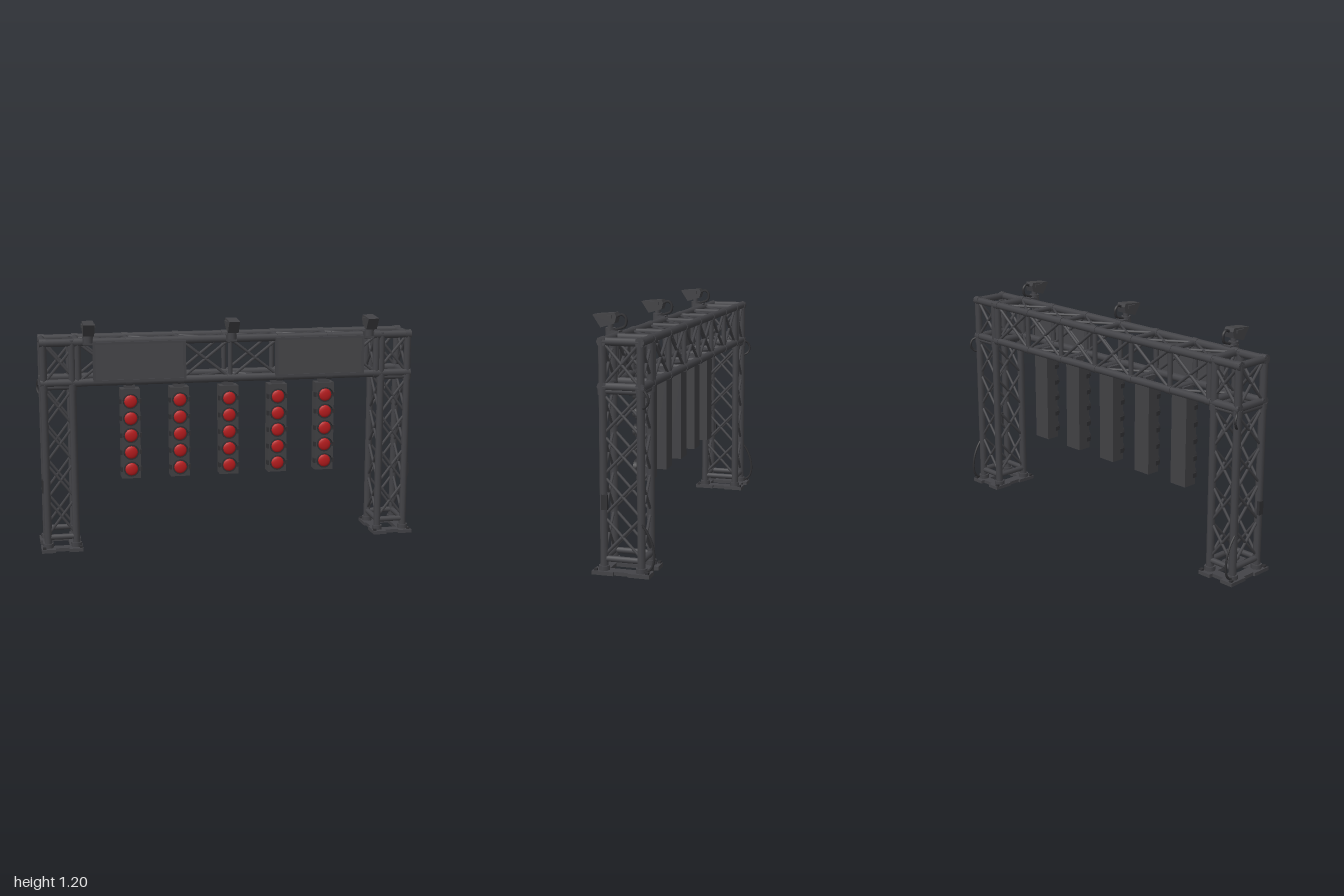
import * as THREE from 'three';

const mat = (name, color, side = THREE.FrontSide) => {
  const m = new THREE.MeshStandardMaterial({ color, side });
  m.name = name;
  return m;
};

export function createModel() {
  const steel = mat('darkSteel', 0x434347);
  const housing = mat('housingGrey', 0x414144);
  const panelGrey = mat('panelGrey', 0x464649);
  const trim = mat('blackTrim', 0x303033, THREE.DoubleSide);
  const red = mat('lampRed', 0xb81c1e);

  const model = new THREE.Group();
  model.name = 'lightGantry';
  const group = (name, parent = model) => {
    const g = new THREE.Group();
    g.name = name;
    parent.add(g);
    return g;
  };
  const add = (parent, name, geo, m, x = 0, y = 0, z = 0) => {
    const mesh = new THREE.Mesh(geo, m);
    mesh.name = name;
    mesh.position.set(x, y, z);
    parent.add(mesh);
    return mesh;
  };
  const box = (p, name, w, h, d, m, x, y, z) => add(p, name, new THREE.BoxGeometry(w, h, d), m, x, y, z);
  const up = new THREE.Vector3(0, 1, 0);
  // Round bar between two points
  const rod = (p, name, a, b, r, m = steel, sides = 8) => {
    const A = new THREE.Vector3(...a), d = new THREE.Vector3(...b).sub(A);
    const mesh = add(p, name, new THREE.CylinderGeometry(r, r, d.length(), sides), m);
    mesh.position.copy(A).addScaledVector(d, 0.5);
    mesh.quaternion.setFromUnitVectors(up, d.normalize());
    return mesh;
  };
  // Crossed braces over the quad a-b (bottom), c-d (top)
  const cross = (p, a, b, c, d, r) => {
    rod(p, 'brace', a, d, r, steel, 6);
    rod(p, 'brace', b, c, r, steel, 6);
  };
  const tube = (p, name, pts, r, m) => add(p, name, new THREE.TubeGeometry(
    new THREE.CatmullRomCurve3(pts.map(v => new THREE.Vector3(...v))), 24, r, 6), m);

  const ZF = 0.064, ZB = -0.118, XO = 0.963, XI = 0.818, YB = 0.882, YT = 1.088;

  // Notched base plate with an open middle
  const w = 0.107, d = 0.14, n = 0.035, k = 0.022;
  const plate = new THREE.Shape([
    [-w, -d], [-n, -d], [-n, -d + k], [n, -d + k], [n, -d], [w, -d], [w, -n], [w - 0.012, -n], [w - 0.012, n], [w, n],
    [w, d], [n, d], [n, d - k], [-n, d - k], [-n, d], [-w, d], [-w, n], [-w + 0.012, n], [-w + 0.012, -n], [-w, -n],
  ].map(v => new THREE.Vector2(...v)));
  plate.holes.push(new THREE.Path([[-0.042, -0.07], [-0.042, 0.07], [0.042, 0.07], [0.042, -0.07]]
    .map(v => new THREE.Vector2(...v))));
  const plateGeo = new THREE.ExtrudeGeometry(plate, { depth: 0.018, bevelEnabled: false }).rotateX(-Math.PI / 2);

  // Lattice towers
  for (const s of [-1, 1]) {
    const t = group(s > 0 ? 'leftTower' : 'rightTower');
    const xo = s * XO, xi = s * XI;
    add(t, 'basePlate', plateGeo, steel, s * 0.893, 0, -0.026);
    const corners = [[xo, ZF], [xi, ZF], [xi, ZB], [xo, ZB]];
    corners.forEach(([x, z], i) => {
      const [x2, z2] = corners[(i + 1) % 4];
      rod(t, 'leg', [x, 0.01, z], [x, 1.1, z], 0.0195);
      rod(t, 'footCollar', [x, 0.015, z], [x, 0.04, z], 0.028);
      rod(t, 'topCollar', [x, 0.845, z], [x, 0.875, z], 0.024);
      for (const y of [0.072, 0.862]) rod(t, 'ring', [x, y, z], [x2, y, z2], 0.015);
      const bays = 4, y0 = 0.085, h = (0.85 - y0) / bays;
      for (let b = 0; b < bays; b++) {
        const lo = y0 + b * h, hi = lo + h;
        cross(t, [x, lo, z], [x2, lo, z2], [x, hi, z], [x2, hi, z2], 0.0075);
      }
      box(t, 'anchorBolt', 0.016, 0.012, 0.016, trim, x + Math.sign(x - s * 0.89) * 0.022, 0.022, z + Math.sign(z + 0.027) * 0.034);
    });
    // Cables looping out of the rear outer leg
    const cx = s * 0.975;
    tube(t, 'lowerCable', [[cx, 0.25, -0.125], [cx, 0.21, -0.153], [cx, 0.15, -0.177], [cx, 0.08, -0.182],
      [cx, 0.04, -0.165], [cx, 0.022, -0.13]], 0.006, trim);
    tube(t, 'upperCable', [[s * 0.965, 0.875, -0.125], [s * 0.984, 0.862, -0.15], [s * 0.988, 0.83, -0.163],
      [s * 0.984, 0.802, -0.15], [s * 0.965, 0.785, -0.12]], 0.006, trim);
    box(t, 'cableClamp', 0.016, 0.07, 0.03, trim, s * 0.98, 0.345, ZF - 0.01);
  }

  // Overhead box truss
  const truss = group('topTruss');
  for (const y of [YB, YT]) for (const z of [ZF, ZB]) rod(truss, 'chord', [-0.98, y, z], [0.98, y, z], 0.0205);
  const nodes = [-XO, -0.79, -0.53, -0.262, 0, 0.262, 0.53, 0.79, XO];
  nodes.forEach((x, i) => {
    const end = Math.abs(x) > 0.7, r = end ? 0.019 : 0.013;
    for (const z of [ZF, ZB]) {
      rod(truss, 'post', [x, YB, z], [x, YT, z], r);
      for (const y of [YB, YT]) rod(truss, 'jointCollar', [x - 0.016, y, z], [x + 0.016, y, z], 0.0235);
    }
    for (const y of [YB, YT]) rod(truss, 'crossTie', [x, y, ZF], [x, y, ZB], r);
    if (end) cross(truss, [x, YB, ZF], [x, YB, ZB], [x, YT, ZF], [x, YT, ZB], 0.0075);
    if (i === nodes.length - 1) return;
    const x2 = nodes[i + 1];
    for (const z of [ZF, ZB]) cross(truss, [x, YB, z], [x2, YB, z], [x, YT, z], [x2, YT, z], 0.008);
    if (i === 0 || i === nodes.length - 2) return;
    cross(truss, [x, YT, ZF], [x2, YT, ZF], [x, YT, ZB], [x2, YT, ZB], 0.0075);
    rod(truss, 'bottomBrace', [x, YB, i % 2 ? ZF : ZB], [x2, YB, i % 2 ? ZB : ZF], 0.0075, steel, 6);
  });

  // Blank display panels with raised rims
  for (const s of [-1, 1]) {
    const p = group('displayPanel');
    p.position.set(s * 0.475, 0.986, 0.084);
    box(p, 'panelBoard', 0.46, 0.19, 0.018, panelGrey, 0, 0, 0);
    for (const e of [-1, 1]) {
      box(p, 'panelRim', 0.475, 0.012, 0.03, steel, 0, e * 0.097, 0);
      box(p, 'panelRim', 0.012, 0.2, 0.03, steel, e * 0.232, 0, 0);
    }
  }

  // Hanging signal columns with five lamps each
  const hoodGeo = new THREE.CylinderGeometry(0.041, 0.038, 0.022, 14, 1, true, Math.PI * 0.42, Math.PI * 1.16)
    .rotateX(Math.PI / 2);
  const lampGeo = new THREE.SphereGeometry(0.034, 12, 4, 0, Math.PI * 2, 0, Math.PI / 2)
    .scale(1, 0.3, 1).rotateX(Math.PI / 2);
  const bezelGeo = new THREE.CylinderGeometry(0.041, 0.041, 0.008, 14).rotateX(Math.PI / 2);
  for (const x of [-0.52, -0.262, 0, 0.262, 0.52]) {
    const c = group('signalColumn');
    c.position.x = x;
    box(c, 'columnBody', 0.1, 0.475, 0.074, housing, 0, 0.597, -0.002);
    box(c, 'mountBlock', 0.055, 0.022, 0.05, steel, 0, 0.845, -0.005);
    rod(c, 'hangerRod', [0, 0.85, -0.005], [0, 0.885, -0.005], 0.018);
    rod(c, 'hangerBar', [0, 0.88, ZF], [0, 0.88, ZB], 0.014);
    box(c, 'hangerClamp', 0.07, 0.022, 0.07, steel, 0, 0.872, -0.01);
    for (let i = 0; i < 5; i++) {
      const y = 0.41 + i * 0.09;
      add(c, 'lampBezel', bezelGeo, trim, 0, y, 0.037);
      add(c, 'lamp', lampGeo, red, 0, y, 0.041);
      const hood = add(c, 'lampHood', hoodGeo, trim, 0, y, 0.047);
      hood.rotation.z = 0;
      for (const s of [-1, 1]) box(c, 'sideLatch', 0.01, 0.024, 0.026, trim, s * 0.051, y, 0.026);
    }
  }

  // Floodlights on the top front chord
  const headShape = new THREE.Shape([[0.185, 1.187], [0.165, 1.19], [0.075, 1.198], [0.066, 1.18], [0.075, 1.148],
    [0.145, 1.127]].map(v => new THREE.Vector2(...v)));
  const headGeo = new THREE.ExtrudeGeometry(headShape, { depth: 0.056, bevelEnabled: false })
    .rotateY(-Math.PI / 2).translate(0.028, 0, 0);
  for (const x of [-0.737, 0, 0.735]) {
    const f = group('floodlight');
    f.position.x = x;
    add(f, 'lampHead', headGeo, housing);
    box(f, 'headCap', 0.07, 0.016, 0.05, housing, 0, 1.178, 0.115);
    rod(f, 'swivelBase', [0, 1.09, 0.105], [0, 1.125, 0.105], 0.026);
    rod(f, 'swivelNeck', [0, 1.115, 0.105], [0, 1.15, 0.105], 0.015);
    box(f, 'baseBracket', 0.05, 0.035, 0.06, steel, 0, 1.095, 0.085);
    tube(f, 'powerCable', [[0, 1.178, 0.075], [0, 1.188, 0.045], [0, 1.17, 0.027], [0, 1.135, 0.032],
      [0, 1.122, 0.06], [0, 1.115, 0.09]], 0.007, trim);
  }
  return model;
}
